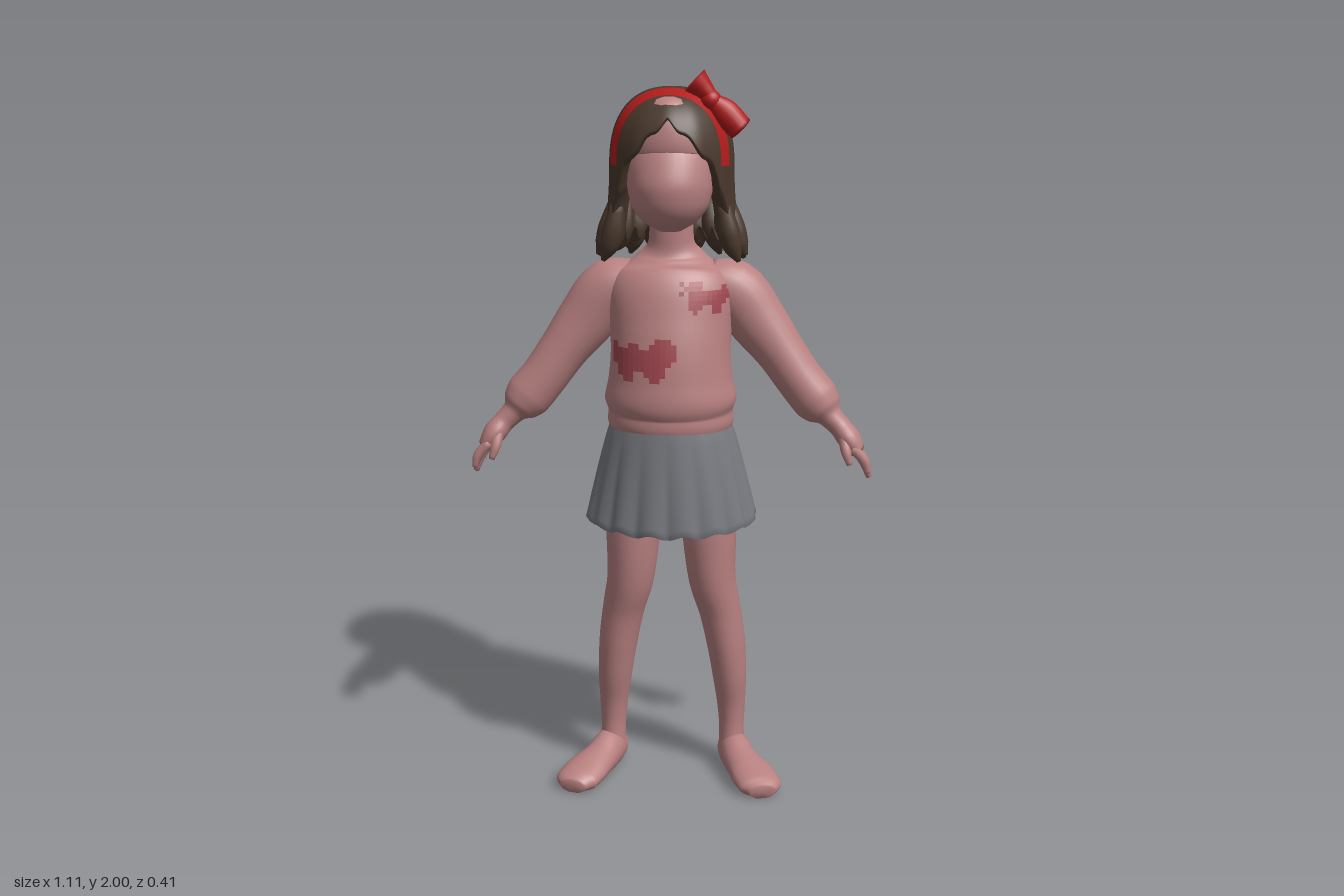
import * as THREE from 'three';

const V = (x, y, z) => new THREE.Vector3(x, y, z);
const mat = (name, color, side = THREE.FrontSide) => {
  const m = new THREE.MeshStandardMaterial({ color, side });
  m.name = name;
  return m;
};

// Closed-around surface: fn(angle, row) gives a point; rows run so that angle x row faces outward
function grid(cols, rows, fn) {
  const pos = [], index = [];
  for (let i = 0; i <= rows; i++)
    for (let j = 0; j < cols; j++) pos.push(...fn((j / cols) * Math.PI * 2, i).toArray());
  for (let i = 0; i < rows; i++)
    for (let j = 0; j < cols; j++) {
      const a = i * cols + j, b = i * cols + (j + 1) % cols;
      index.push(a, b, a + cols, b, b + cols, a + cols);
    }
  const g = new THREE.BufferGeometry();
  g.setAttribute('position', new THREE.Float32BufferAttribute(pos, 3));
  g.setIndex(index);
  g.computeVertexNormals();
  return g;
}

// Smooth capped limb through sections [x, y, z, radiusAcross, radiusDeep]
function loft(sections, cols = 24, steps = 30, ref = V(0, 0, 1)) {
  const path = new THREE.CatmullRomCurve3(sections.map(s => V(s[0], s[1], s[2])));
  const radii = new THREE.CatmullRomCurve3(sections.map(s => V(s[3], s[4], 0)));
  return grid(cols, steps + 2, (ang, i) => {
    const t = THREE.MathUtils.clamp((i - 1) / steps, 0, 1);
    const k = i === 0 || i === steps + 2 ? 0 : 1;
    const dir = path.getTangent(t), r = radii.getPoint(t);
    const u = dir.clone().cross(ref).normalize(), w = dir.clone().cross(u);
    return path.getPoint(t).addScaledVector(u, k * r.x * Math.cos(ang)).addScaledVector(w, k * r.y * Math.sin(ang));
  });
}

// Hair outline: rounded cap above y = 1.75, falling and flaring below it
const CAP_Y = 1.75, CAP_H = 0.21, P = 2.4;
const dome = s => Math.pow(Math.max(0, 1 - Math.pow(s, P)), 1 / P);
function hairPoint(phi, y, k = 1) {
  const d = Math.max(0, CAP_Y - y), s = y > CAP_Y ? dome((y - CAP_Y) / CAP_H) : 1;
  const rx = (0.168 + 0.45 * d * d) * s;
  const front = (0.205 - 0.25 * d) * s;
  const back = (0.17 + 0.025 * Math.cos((d - 0.05) * 22.4)) * s;
  const ripple = k * (1 + (0.006 + 0.07 * d) * Math.cos(13 * phi) * 0.8);
  const c = Math.cos(phi);
  return V(rx * Math.sin(phi) * ripple, y, -0.01 + (c > 0 ? front : back) * c * ripple);
}
// Lower edge of the hair by angle from the front, in degrees
const EDGE = [[0, 1.875], [15, 1.845], [30, 1.8], [45, 1.755], [56, 1.69], [64, 1.6], [72, 1.535], [180, 1.53]];
function hairEdge(phi) {
  const deg = Math.abs(Math.atan2(Math.sin(phi), Math.cos(phi))) * 180 / Math.PI;
  let i = 1;
  while (i < EDGE.length - 1 && deg > EDGE[i][0]) i++;
  const [a, ya] = EDGE[i - 1], [b, yb] = EDGE[i];
  return ya + (yb - ya) * (deg - a) / (b - a) + (deg > 50 ? 0.018 : 0.006) * Math.cos(phi * 17);
}

export function createModel() {
  const skin = mat('dusty pink', 0xb98181);
  const grey = mat('skirt grey', 0x7b7c82, THREE.DoubleSide);
  const brown = mat('hair brown', 0x4a392d, THREE.DoubleSide);
  const red = mat('bow red', 0xb31c1c, THREE.DoubleSide);
  const patchRed = mat('patch red', 0xa0474f, THREE.DoubleSide);
  const model = new THREE.Group();
  model.name = 'girl';
  const add = (name, geo, m, parent = model) => {
    const mesh = new THREE.Mesh(geo, m);
    mesh.name = name;
    parent.add(mesh);
    return mesh;
  };

  // Sweater body running up into the neck
  const torso = add('sweater', loft([
    [0, 1.03, 0.04, 0.163, 0.138], [0, 1.07, 0.042, 0.174, 0.148], [0, 1.095, 0.043, 0.172, 0.147],
    [0, 1.13, 0.046, 0.181, 0.156], [0, 1.18, 0.047, 0.171, 0.152], [0, 1.25, 0.047, 0.164, 0.145],
    [0, 1.33, 0.04, 0.166, 0.135], [0, 1.41, 0.03, 0.172, 0.123], [0, 1.47, 0.01, 0.15, 0.1],
    [0, 1.51, 0.008, 0.1, 0.075], [0, 1.55, 0.015, 0.062, 0.055], [0, 1.64, 0.02, 0.057, 0.055]], 48, 60), skin);
  add('hips', loft([[0, 0.81, 0.03, 0.09, 0.07], [0, 0.87, 0.03, 0.155, 0.11], [0, 0.95, 0.035, 0.165, 0.125],
    [0, 1.04, 0.04, 0.16, 0.135]]), skin);

  // Head
  add('head', loft([
    [0, 1.585, 0.075, 0.03, 0.035], [0, 1.61, 0.075, 0.073, 0.078], [0, 1.65, 0.075, 0.102, 0.11],
    [0, 1.69, 0.07, 0.113, 0.123], [0, 1.73, 0.06, 0.118, 0.12], [0, 1.77, 0.045, 0.122, 0.117],
    [0, 1.82, 0.04, 0.122, 0.125], [0, 1.88, 0.02, 0.1, 0.12], [0, 1.93, 0, 0.04, 0.05]], 36, 40), skin);

  // Limbs, mirrored
  for (const sx of [1, -1]) {
    const side = sx > 0 ? 'left' : 'right';
    const limb = (name, pts, ...rest) =>
      add(side + name, loft(pts.map(([x, ...r]) => [x * sx, ...r]), ...rest), skin);
    limb('Arm', [
      [0.09, 1.45, -0.005, 0.055, 0.075], [0.17, 1.415, 0, 0.085, 0.08], [0.235, 1.335, 0.005, 0.08, 0.072],
      [0.3, 1.25, 0.01, 0.068, 0.07], [0.35, 1.18, 0.018, 0.065, 0.068], [0.395, 1.125, 0.026, 0.066, 0.066],
      [0.422, 1.095, 0.033, 0.054, 0.056], [0.438, 1.077, 0.038, 0.034, 0.04], [0.465, 1.05, 0.045, 0.03, 0.036],
      [0.49, 1.02, 0.055, 0.032, 0.045], [0.515, 0.985, 0.055, 0.022, 0.04]], 24, 44);
    limb('IndexFinger', [[0.5, 1.0, 0.035, 0.014, 0.014], [0.532, 0.95, 0.035, 0.012, 0.012], [0.55, 0.905, 0.033, 0.008, 0.008]], 10, 8);
    for (const z of [0.054, 0.072, 0.088])
      limb('Finger', [[0.5, 1.0, z, 0.014, 0.012], [0.534, 0.96, z, 0.013, 0.011], [0.543, 0.928, z, 0.007, 0.007]], 10, 8);
    limb('Thumb', [[0.475, 1.03, 0.075, 0.016, 0.016], [0.482, 0.99, 0.096, 0.014, 0.013], [0.493, 0.955, 0.102, 0.008, 0.008]], 10, 8);
    limb('Leg', [
      [0.1, 0.92, 0.03, 0.08, 0.09], [0.107, 0.75, 0.028, 0.077, 0.089], [0.116, 0.6, 0.02, 0.067, 0.081],
      [0.138, 0.5, 0.002, 0.06, 0.074], [0.155, 0.4, -0.012, 0.056, 0.073], [0.166, 0.3, -0.02, 0.05, 0.062],
      [0.172, 0.2, -0.03, 0.041, 0.047], [0.174, 0.12, -0.032, 0.036, 0.042], [0.176, 0.04, -0.028, 0.038, 0.045]], 24, 40);
    const foot = limb('Foot', [
      [0.163, 0.028, -0.09, 0.022, 0.024], [0.174, 0.045, -0.055, 0.042, 0.048], [0.185, 0.053, -0.01, 0.046, 0.056],
      [0.208, 0.045, 0.05, 0.051, 0.045], [0.24, 0.036, 0.11, 0.064, 0.037], [0.262, 0.028, 0.16, 0.062, 0.03],
      [0.27, 0.022, 0.19, 0.036, 0.02]], 28, 30, V(0, 1, 0));
    // Flat sole
    const p = foot.geometry.attributes.position;
    for (let i = 0; i < p.count; i++) p.setY(i, Math.max(0, p.getY(i) * 1.05 - 0.004));
    foot.geometry.computeVertexNormals();
  }

  // Pleated skirt with a turned-in hem
  const R = 14;
  add('skirt', grid(168, R + 2, (ang, i) => {
    const v = Math.min(i, R) / R, tuck = i > R ? 1 - 0.03 * (i - R) : 1;
    const flare = Math.pow(v, 0.85);
    const fold = 1 + 0.032 * v * (Math.abs(Math.sin(ang * 8)) * 2 - 1.2);
    const c = Math.cos(ang) * fold * tuck, s = Math.sin(ang) * fold * tuck;
    const y = 1.055 - v * (0.275 + 0.017 * Math.sin(ang) + 0.006 * Math.cos(ang * 16)) + (i > R ? 0.006 * (i - R) : 0);
    // Angle is reversed because the rows run downward
    return V((0.168 + 0.068 * flare) * c, y, 0.04 - 0.02 * v + (0.147 + 0.03 * flare) * s);
  }).scale(1, 1, 1), grey);

  // Hair shell, its rim curling inward to give thickness
  const N = 32;
  add('hair', grid(160, N + 3, (ang, i) => {
    const phi = -ang, low = hairEdge(phi), v = Math.min(i, N) / N;
    const y = CAP_Y + CAP_H - (CAP_Y + CAP_H - low) * Math.pow(v, 1.8);
    const curl = Math.max(0, i - N);
    const p = hairPoint(phi, y, [1, 0.95, 0.87, 0.72][curl]);
    p.y += [0, -0.004, 0.004, 0.03][curl];
    return p;
  }), brown);

  // Loose lock tips around the lower edge
  const locks = new THREE.Group();
  locks.name = 'hairLocks';
  model.add(locks);
  [68, 84, 102, 122, 142, 161, 180].forEach((deg, n) => {
    for (const sx of deg === 180 ? [1] : [1, -1]) {
      const phi = sx * deg * Math.PI / 180;
      const at = (y, k, r) => [...hairPoint(phi, y, k).toArray(), r, r];
      add('hairLock', loft([at(1.65, 0.9, 0.018), at(1.58, 0.94, 0.03), at(1.54, 0.97, 0.026),
        at(1.5 + (n % 2) * 0.012, 1.03, 0.006)], 12, 12), brown, locks);
    }
  });

  // Headband lying on the hair
  const bandRow = [0.078, 0.116], pts = [], idx = [], B = 40;
  for (let i = 0; i <= B; i++)
    for (const z of bandRow) {
      const dz = (z + 0.01) / 0.205, x = 0.168 * Math.sqrt(1 - dz * dz) * Math.sin((i / B - 0.5) * Math.PI);
      pts.push(x * 1.035, CAP_Y + 0.007 + CAP_H * dome(Math.hypot(x / 0.168, dz)) * 1.01, z * 1.03);
    }
  for (let i = 0; i < B; i++) idx.push(2 * i, 2 * i + 1, 2 * i + 2, 2 * i + 1, 2 * i + 3, 2 * i + 2);
  const band = new THREE.BufferGeometry();
  band.setAttribute('position', new THREE.Float32BufferAttribute(pts, 3));
  band.setIndex(idx);
  band.computeVertexNormals();
  add('headband', band, red);

  // Bow: two flaring loops and a knot
  add('bowUpperLoop', loft([[0.115, 1.922, 0.088, 0.018, 0.02], [0.09, 1.952, 0.088, 0.026, 0.027],
    [0.065, 1.976, 0.088, 0.037, 0.037]], 20, 12), red);
  add('bowLowerLoop', loft([[0.105, 1.93, 0.088, 0.018, 0.02], [0.145, 1.893, 0.084, 0.036, 0.03],
    [0.185, 1.852, 0.076, 0.034, 0.04]], 20, 12), red);
  add('bowKnot', new THREE.SphereGeometry(0.027, 18, 12).translate(0.108, 1.926, 0.09), red);

  // Animal patches: small cells laid on the sweater front
  const ray = new THREE.Raycaster();
  torso.updateMatrixWorld();
  const onTorso = (x, y) => {
    ray.set(V(x, y, 1), V(0, 0, -1));
    const hit = ray.intersectObject(torso)[0];
    return hit && [x, y, hit.point.z + 0.006];
  };
  const patch = (name, x0, y0, cell, rows) => {
    const pos = [];
    rows.forEach((row, r) => [...row].forEach((ch, c) => {
      if (ch !== '#') return;
      const x = x0 + c * cell, y = y0 - r * cell;
      const q = [onTorso(x, y), onTorso(x, y - cell), onTorso(x + cell, y - cell), onTorso(x + cell, y)];
      if (q.every(Boolean)) for (const k of [0, 1, 2, 0, 2, 3]) pos.push(...q[k]);
    }));
    const g = new THREE.BufferGeometry();
    g.setAttribute('position', new THREE.Float32BufferAttribute(pos, 3));
    g.computeVertexNormals();
    add(name, g, patchRed);
  };
  patch('lowerAnimalPatch', -0.15, 1.31, 0.0146, ['........###.', '#..##..#####', '############', '############',
    '###########.', '.#########..', '.###..####..', '..##...##...']);
  patch('upperAnimalPatch', 0.03, 1.457, 0.0122, ['#.###......', '.####....##', '#.#########', '..#########',
    '..########.', '..###..##..', '...#...##..']);
  return model;
}
